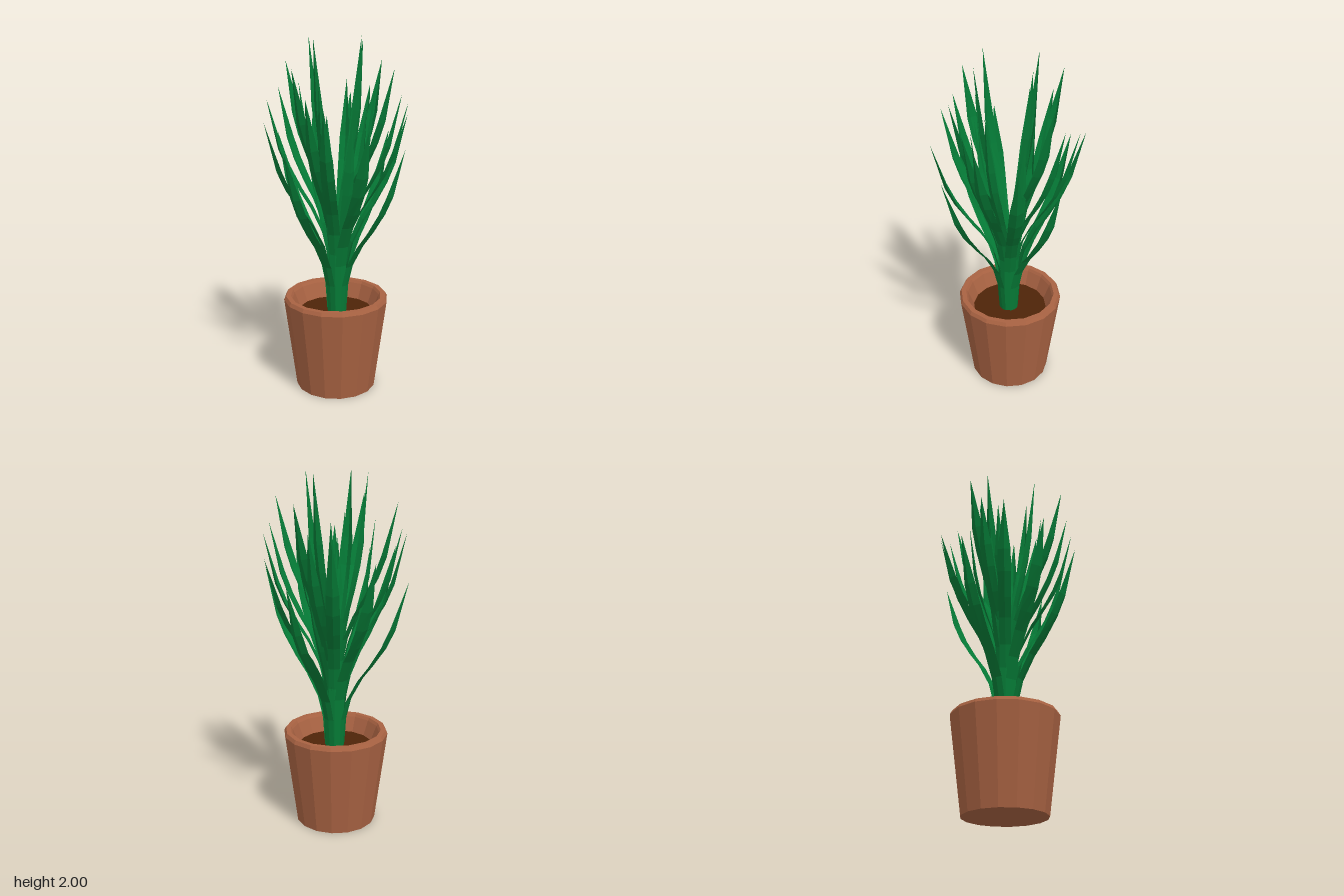
import * as THREE from 'three';

const material = (color, side = THREE.FrontSide) =>
  new THREE.MeshStandardMaterial({ color, side, flatShading: true });

// Leaf rings: tip radius, tip height, base radius, half width,
// stretch of the arching part, compass angles in degrees
const RINGS = [
  { name: 'lowestLeaf', r: 0.446, h: 1.45, base: 0.048, w: 0.036, stretch: 1, angles: [-90, -5, 84, 177] },
  { name: 'lowLeaf', r: 0.415, h: 1.57, base: 0.045, w: 0.038, stretch: 1, angles: [-61, 24, 114, 207] },
  { name: 'middleLeaf', r: 0.39, h: 1.67, base: 0.04, w: 0.037, stretch: 1.04, angles: [-28, 57, 146, 239] },
  { name: 'upperLeaf', r: 0.375, h: 1.72, base: 0.036, w: 0.036, stretch: 1.05, angles: [-17, 72, 166, 258] },
  { name: 'highLeaf', r: 0.375, h: 1.86, base: 0.03, w: 0.036, stretch: 1.08, angles: [-90, -4, 84, 177] },
  { name: 'innerLeaf', r: 0.205, h: 1.62, base: 0.022, w: 0.03, stretch: 1.2, angles: [-78, 23, 62, 170] },
  { name: 'innerTallLeaf', r: 0.22, h: 1.76, base: 0.016, w: 0.03, stretch: 1.2, angles: [-22, 72, 156, 242] },
  { name: 'crownLeaf', r: 0.2, h: 2, base: 0.008, w: 0.03, stretch: 1.4, angles: [-90, 5, 84, 177] },
];

// Stations up a leaf: outward fraction, drop below the tip, width fraction, keel depth
const STATIONS = [
  [0.03, 0.83, 0.85, 0.005],
  [0.11, 0.71, 0.87, 0.005],
  [0.29, 0.58, 0.9, 0.005],
  [0.46, 0.49, 0.95, 0.007],
  [0.65, 0.37, 1, 0.014],
  [0.78, 0.26, 0.95, 0.016],
  [1, 0, 0, 0],
];
const SOIL_Y = 0.45;

// Blade that rises straight from the soil, arches out towards +x and turns up to its tip
function leafGeometry({ r, h, base, w, stretch }) {
  const positions = [];
  const index = [];
  const addRow = (x, y, half, keel) =>
    positions.push(x, y, -half, x + keel, y - keel / 2, 0, x, y, half);
  addRow(base, SOIL_Y, w * 0.75, 0.004);
  STATIONS.forEach(([out, drop, wide, keel], i) => {
    addRow(base + out * (r - base), h - drop * stretch, w * wide, keel);
    for (const a of [i * 3, i * 3 + 1]) index.push(a, a + 1, a + 3, a + 1, a + 4, a + 3);
  });
  const geometry = new THREE.BufferGeometry();
  geometry.setAttribute('position', new THREE.Float32BufferAttribute(positions, 3));
  geometry.setIndex(index);
  geometry.computeVertexNormals();
  return geometry;
}

export function createModel() {
  const model = new THREE.Group();

  // Tapered pot with a bevelled rim and hollow top
  const profile = [
    [0, 0], [0.23, 0], [0.299, 0.53], [0.288, 0.55],
    [0.26, 0.55], [0.25, 0.535], [0.212, SOIL_Y - 0.01],
  ].map(([x, y]) => new THREE.Vector2(x, y));
  const turn = THREE.MathUtils.degToRad(5);
  const pot = new THREE.Mesh(new THREE.LatheGeometry(profile, 16, turn), material(0xa86242, THREE.DoubleSide));
  pot.name = 'pot';
  pot.position.x = -0.007;
  model.add(pot);

  // Soil disc
  const soil = new THREE.Mesh(new THREE.CircleGeometry(0.215, 16, turn), material(0x4e2408));
  soil.name = 'soil';
  soil.rotation.x = -Math.PI / 2;
  soil.position.set(-0.007, SOIL_Y, 0);
  model.add(soil);

  // Rings of leaves, from the spreading outer ones to the upright crown
  const leaves = new THREE.Group();
  leaves.name = 'leaves';
  const green = material(0x057a36, THREE.DoubleSide);
  for (const ring of RINGS) {
    const geometry = leafGeometry(ring);
    for (const angle of ring.angles) {
      const leaf = new THREE.Mesh(geometry, green);
      leaf.name = ring.name;
      leaf.rotation.y = -THREE.MathUtils.degToRad(angle);
      leaves.add(leaf);
    }
  }
  model.add(leaves);
  return model;
}
